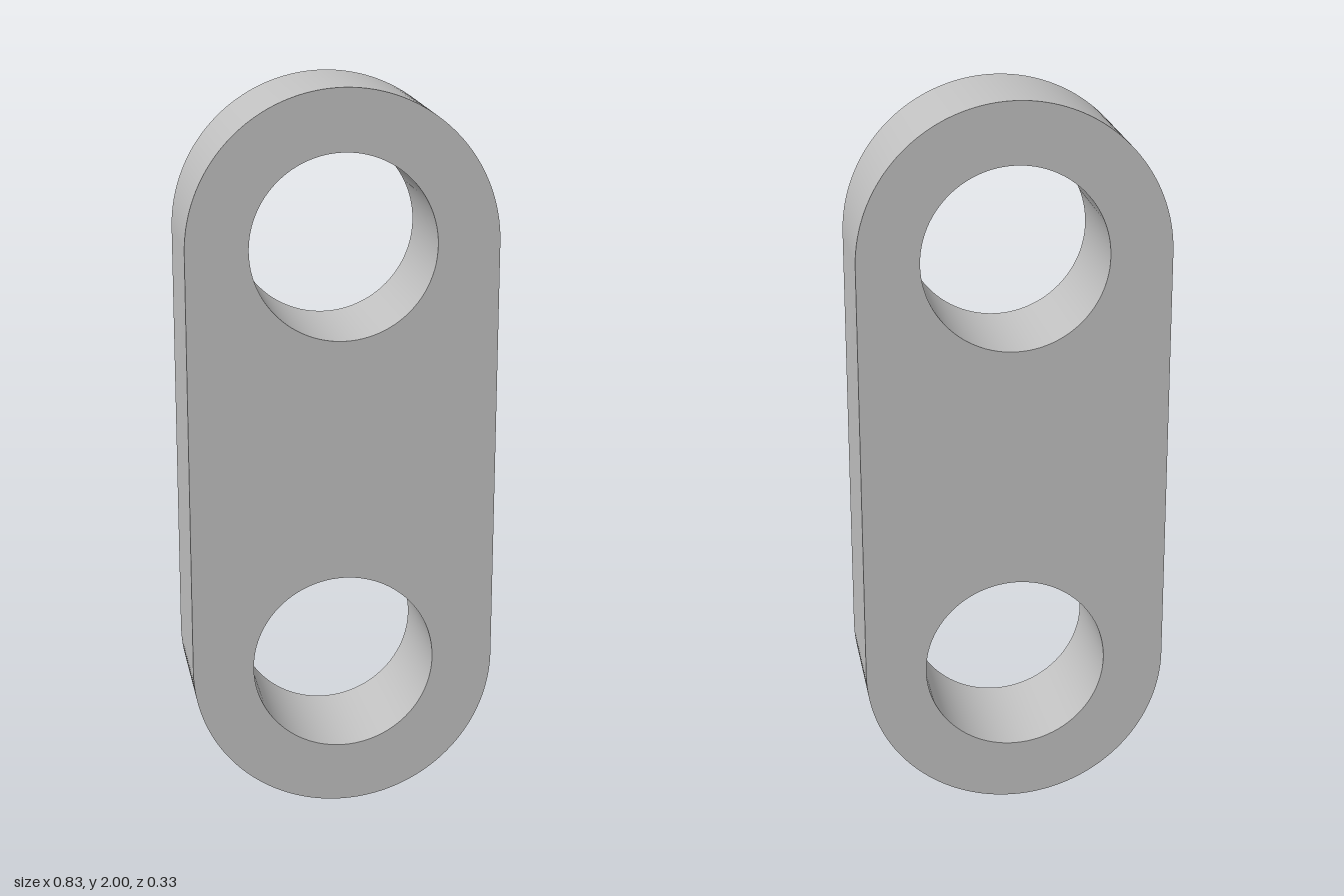
import * as THREE from 'three';
import { toCreasedNormals } from 'three/addons/utils/BufferGeometryUtils.js';

const RADIUS = 5 / 12;   // rounded ends
const HOLE = 0.25;       // pin holes
const DEPTH = 1 / 3;
const LOW = RADIUS, HIGH = 2 - RADIUS;   // heights of the hole centres

export function createModel() {
  const grey = new THREE.MeshStandardMaterial({ color: 0xc0c0c0 });
  grey.name = 'light grey';

  // Stadium outline: a half circle at each end joined by straight sides
  const outline = new THREE.Shape();
  outline.absarc(0, HIGH, RADIUS, 0, Math.PI, false);
  outline.absarc(0, LOW, RADIUS, Math.PI, 2 * Math.PI, false);
  outline.closePath();

  // One round through hole concentric with each end
  for (const y of [LOW, HIGH]) {
    const hole = new THREE.Path();
    hole.absarc(0, y, HOLE, 0, 2 * Math.PI, true);
    outline.holes.push(hole);
  }

  const geometry = new THREE.ExtrudeGeometry(outline, {
    depth: DEPTH, bevelEnabled: false, curveSegments: 48,
  });
  geometry.translate(0, 0, -DEPTH / 2);

  // Smooth curved walls, sharp rims
  const link = new THREE.Mesh(toCreasedNormals(geometry, Math.PI / 6), grey);
  link.name = 'linkPlate';

  const model = new THREE.Group();
  model.name = 'twoHoleLink';
  model.add(link);
  return model;
}
